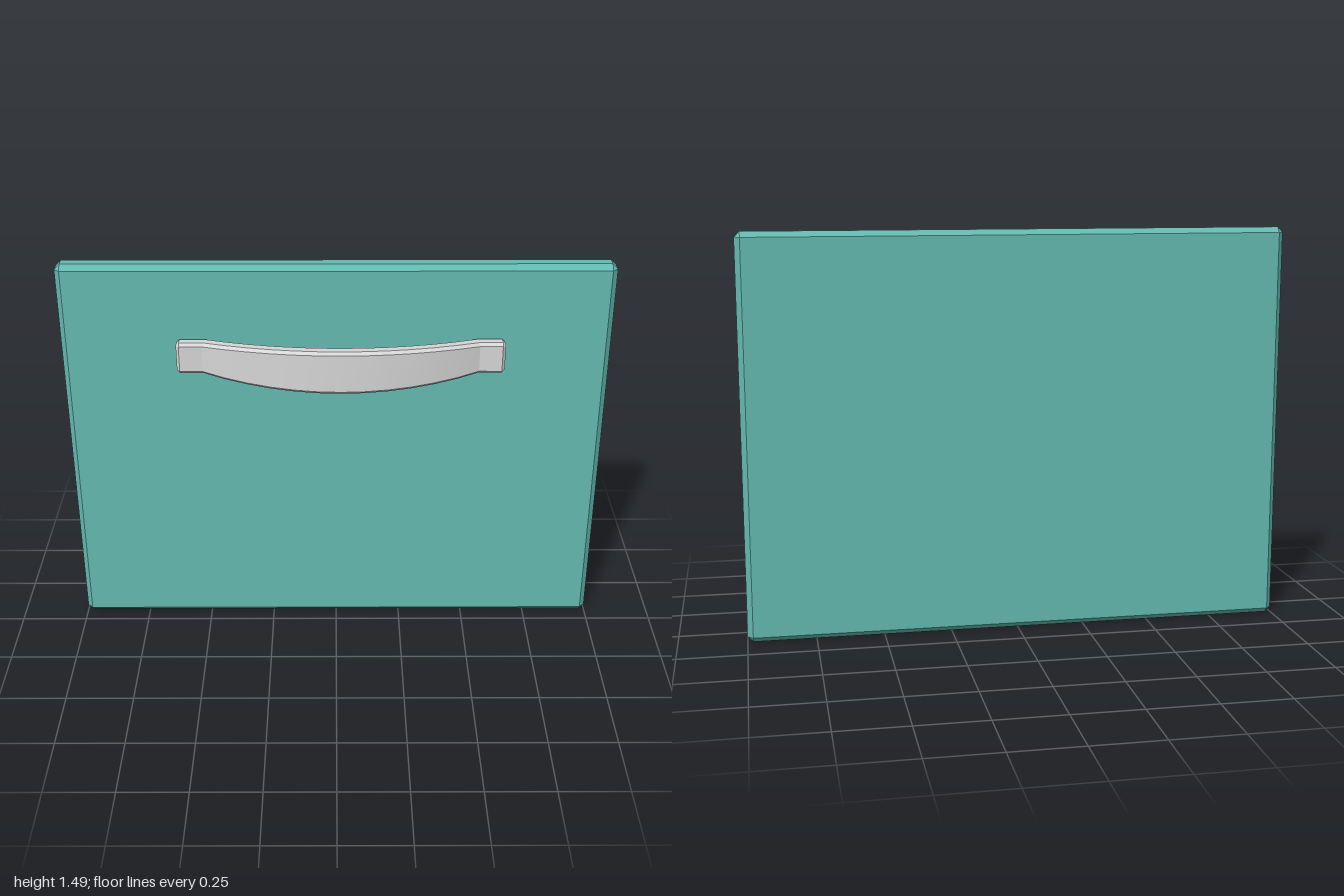
import * as THREE from 'three';
import { toCreasedNormals } from 'three/addons/utils/BufferGeometryUtils.js';
import { ConvexGeometry } from 'three/addons/geometries/ConvexGeometry.js';

// Box with a flat chamfer c on every edge
function chamferBox(w, h, d, c) {
  const pts = [];
  for (const x of [-1, 1]) for (const y of [-1, 1]) for (const z of [-1, 1]) {
    for (let a = 0; a < 3; a++) {
      const inset = [c, c, c];
      inset[a] = 0;
      pts.push(new THREE.Vector3(x * (w / 2 - inset[0]), y * (h / 2 - inset[1]), z * (d / 2 - inset[2])));
    }
  }
  return new ConvexGeometry(pts);
}

// Bowed bar lofted along x from chamfered rectangular sections
function bowHandle() {
  const halfBow = 0.495, halfLength = 0.595, bevel = 0.011, steps = 12;
  const bow = x => Math.max(0, 1 - (x / halfBow) ** 2);
  const path = x => -0.024 + 0.125 * bow(x);
  const stations = [{ x: -halfLength, inset: bevel }, { x: -halfLength + bevel, inset: 0 }];
  for (let i = 0; i <= steps; i++) stations.push({ x: halfBow * (2 * i / steps - 1), inset: 0 });
  stations.push({ x: halfLength - bevel, inset: 0 }, { x: halfLength, inset: bevel });

  const pos = [], idx = [], n = 8;
  for (const { x, inset } of stations) {
    const slope = (path(x + 0.04) - path(x - 0.04)) / 0.08;
    const len = Math.hypot(1, slope);
    const t = 0.026 - inset, h = 0.06 + 0.022 * bow(x) - inset, c = inset ? 0.006 : bevel;
    const ring = [[-t, -h + c], [-t, h - c], [-t + c, h], [t - c, h], [t, h - c], [t, -h + c], [t - c, -h], [-t + c, -h]];
    for (const [u, y] of ring) pos.push(x - u * slope / len, y, path(x) + u / len);
  }
  const last = (stations.length - 1) * n;
  for (let s = 0; s < last; s += n) for (let i = 0; i < n; i++) {
    const a = s + i, b = s + (i + 1) % n;
    idx.push(a, b, a + n, b, b + n, a + n);
  }
  for (let i = 1; i < n - 1; i++) idx.push(0, i + 1, i, last, last + i, last + i + 1);

  const geo = new THREE.BufferGeometry();
  geo.setAttribute('position', new THREE.Float32BufferAttribute(pos, 3));
  geo.setIndex(idx);
  return toCreasedNormals(geo, 0.35);
}

export function createModel() {
  const teal = new THREE.MeshStandardMaterial({ color: 0x63b9b0 });
  teal.name = 'teal paint';
  const grey = new THREE.MeshStandardMaterial({ color: 0xd6d6d6 });
  grey.name = 'light grey metal';
  const model = new THREE.Group();
  model.name = 'drawerFront';

  // Upright chamfered panel
  const panel = new THREE.Mesh(chamferBox(2, 1.485, 0.08, 0.02), teal);
  panel.name = 'panel';
  panel.position.set(0, 0.7425, -0.09);

  // Pull handle on the front
  const handle = new THREE.Mesh(bowHandle(), grey);
  handle.name = 'handle';
  handle.position.set(0.017, 1.147, 0);

  model.add(panel, handle);
  return model;
}
